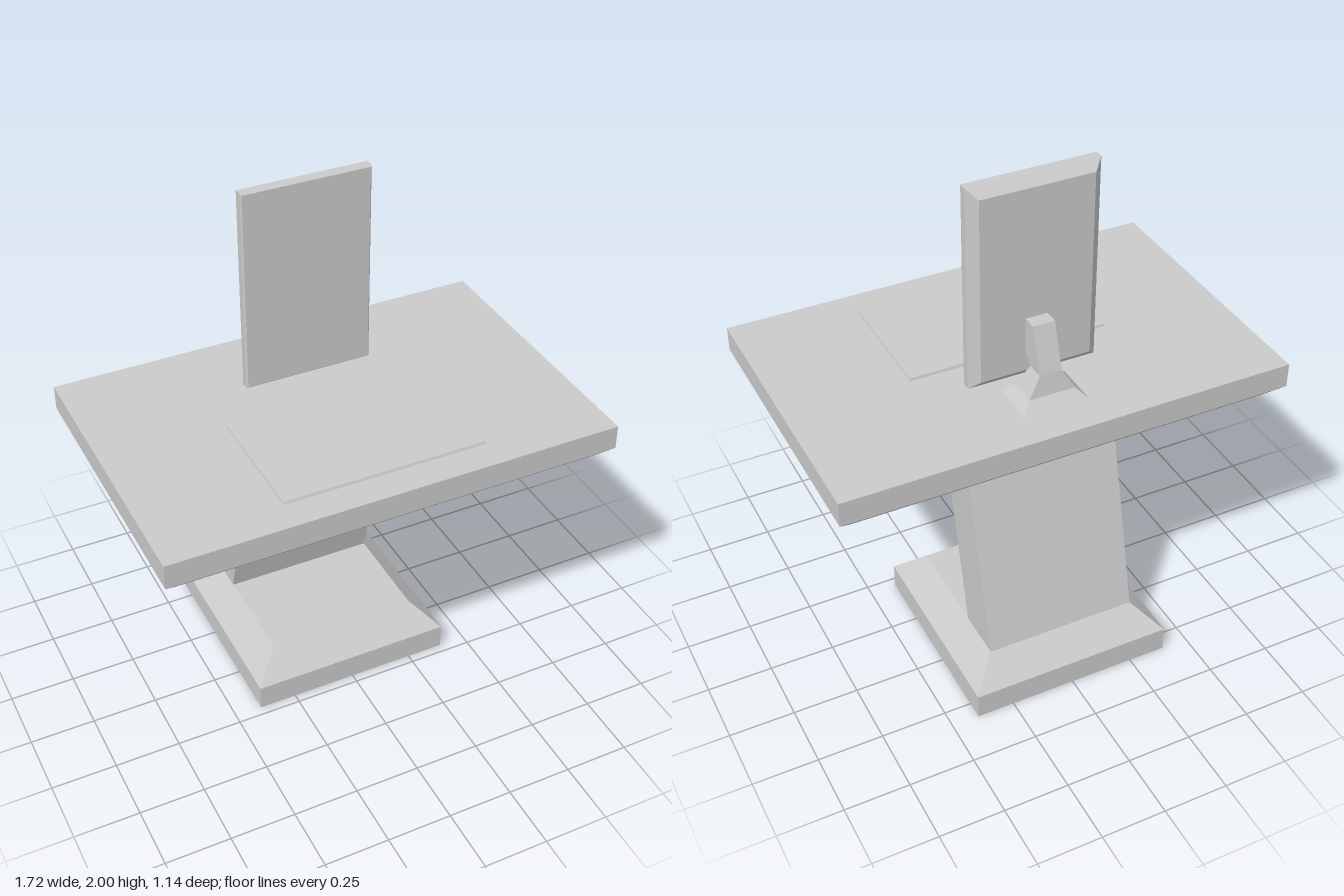
import * as THREE from 'three';
import { toCreasedNormals } from 'three/addons/utils/BufferGeometryUtils.js';

// Solid through stacked rectangles, each [y, half width, back z, front z]
function loft(sections, crease = 0.1) {
  const positions = [];
  const index = [];
  for (const [y, w, back, front] of sections) {
    positions.push(-w, y, front, w, y, front, w, y, back, -w, y, back);
  }
  const quad = (a, b, c, d) => index.push(a, b, c, a, c, d);
  for (let s = 0; s < sections.length - 1; s++) {
    for (let i = 0; i < 4; i++) {
      const j = (i + 1) % 4, lo = s * 4, hi = lo + 4;
      quad(lo + i, lo + j, hi + j, hi + i);
    }
  }
  const top = (sections.length - 1) * 4;
  quad(3, 2, 1, 0);
  quad(top, top + 1, top + 2, top + 3);
  const geometry = new THREE.BufferGeometry();
  geometry.setAttribute('position', new THREE.Float32BufferAttribute(positions, 3));
  geometry.setIndex(index);
  return toCreasedNormals(geometry, crease);
}

export function createModel() {
  const model = new THREE.Group();
  model.name = 'pedestalDesk';
  const material = new THREE.MeshStandardMaterial({ color: 0xcccccc });
  const add = (name, geometry) => {
    const mesh = new THREE.Mesh(geometry, material);
    mesh.name = name;
    model.add(mesh);
    return mesh;
  };

  // Foot with a chamfered upper half
  add('base', loft([
    [0, 0.395, -0.57, 0.215],
    [0.1, 0.395, -0.57, 0.215],
    [0.2, 0.295, -0.47, 0.115],
  ]));

  // Pillar leaning forward
  add('column', loft([
    [0.2, 0.295, -0.47, -0.275],
    [0.995, 0.295, -0.274, -0.079],
  ]));

  // Table top: straight rim over a rounded underside, as [y, inset]
  const rim = [[0.99, 0.17], [0.994, 0.125], [1.008, 0.085], [1.03, 0.056], [1.085, 0], [1.18, 0]];
  add('tableTop', loft(rim.map(([y, d]) => [y, 0.86 - d, -0.535 + d, 0.573 - d]), 0.6));

  // Thin desk pad
  add('deskPad', loft([
    [1.18, 0.39, -0.03, 0.457],
    [1.19, 0.387, -0.027, 0.453],
  ]));

  // Screen, lofted from back to front and then stood upright
  const screen = [[-0.236, 0.035], [-0.204, 0], [-0.172, 0], [-0.167, 0.005]];
  const panel = loft(screen.map(([z, d]) => [z, 0.247 - d, -0.392 + d, 0.392 - d]));
  panel.rotateX(Math.PI / 2);
  add('screen', panel).position.y = 1.608;

  // Stand: flared foot, narrow neck and arm reaching the screen's back
  add('screenStand', loft([
    [1.18, 0.125, -0.395, -0.215],
    [1.217, 0.088, -0.36, -0.252],
    [1.295, 0.042, -0.345, -0.275],
    [1.33, 0.042, -0.334, -0.235],
    [1.465, 0.042, -0.29, -0.235],
  ]));

  return model;
}
